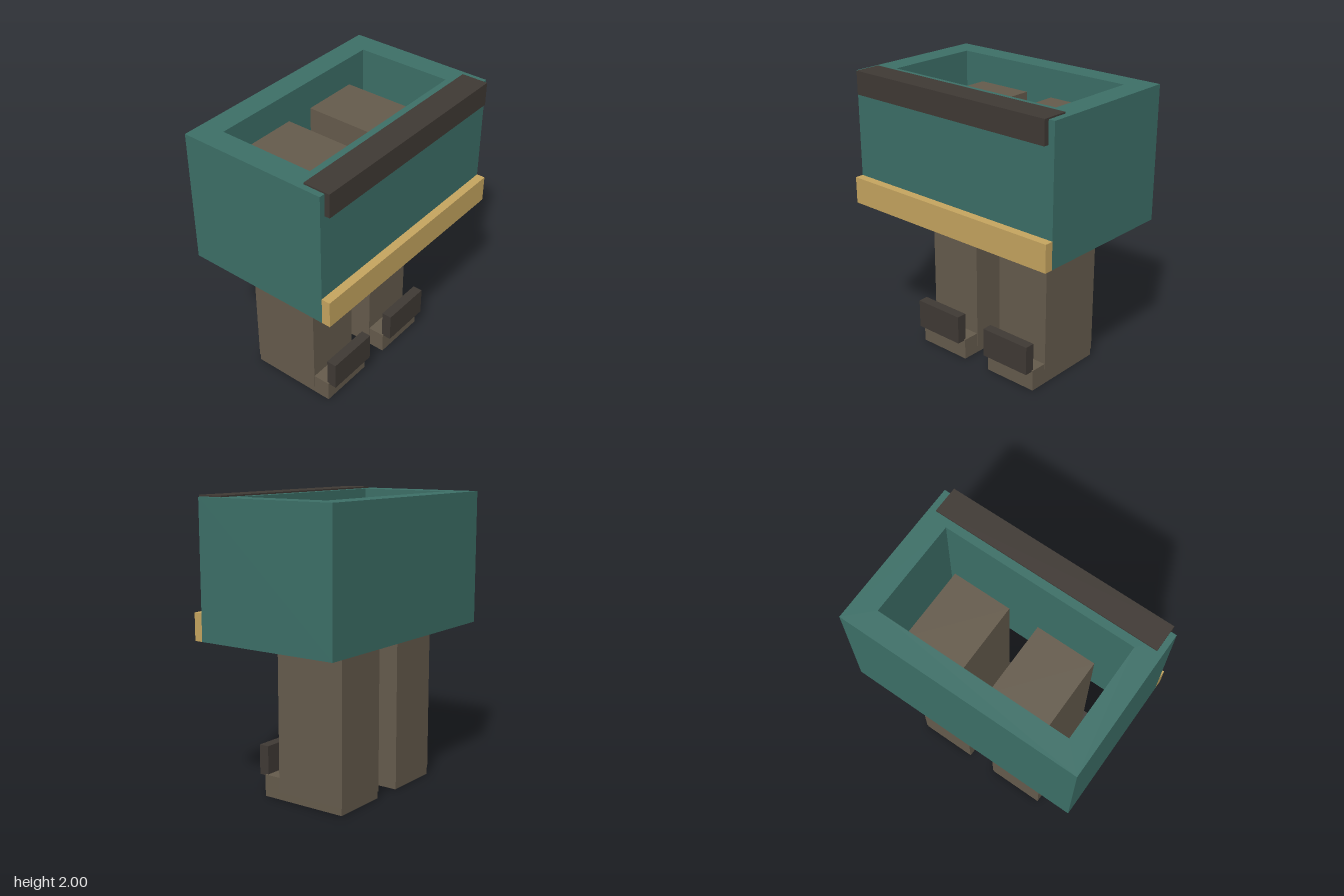
import * as THREE from 'three';

const paint = (name, color) => {
  const m = new THREE.MeshStandardMaterial({ color });
  m.name = name;
  return m;
};

// Box given by its [min, max] extent on each axis
function block(name, material, [x0, x1], [y0, y1], [z0, z1]) {
  const mesh = new THREE.Mesh(new THREE.BoxGeometry(x1 - x0, y1 - y0, z1 - z0), material);
  mesh.position.set((x0 + x1) / 2, (y0 + y1) / 2, (z0 + z1) / 2);
  mesh.name = name;
  return mesh;
}

// Rectangle outline in the x-z plane, for a shape or a hole
const rectangle = (halfWidth, z0, z1) => [
  new THREE.Vector2(-halfWidth, z0), new THREE.Vector2(halfWidth, z0),
  new THREE.Vector2(halfWidth, z1), new THREE.Vector2(-halfWidth, z1),
];

export function createModel() {
  const teal = paint('teal', 0x3d7068);
  const gold = paint('gold', 0xc7a660);
  const brown = paint('brown', 0x665c4d);
  const dark = paint('dark brown', 0x403a35);

  const model = new THREE.Group();
  model.name = 'openBoxOnLegs';

  // Hollow body, open at the top and bottom
  const outline = new THREE.Shape(rectangle(0.835, -0.545, 0.49));
  outline.holes.push(new THREE.Path(rectangle(0.675, -0.385, 0.285)));
  const bodyGeometry = new THREE.ExtrudeGeometry(outline, { depth: 0.915, bevelEnabled: false });
  bodyGeometry.rotateX(Math.PI / 2);
  const body = new THREE.Mesh(bodyGeometry, teal);
  body.position.y = 1.99;
  body.name = 'body';
  model.add(body);

  // Hem band at the bottom and rim cap at the top of the front wall
  model.add(block('hemBand', gold, [-0.835, 0.835], [1.075, 1.26], [0.49, 0.55]));
  model.add(block('rimCap', dark, [-0.795, 0.79], [1.84, 2], [0.34, 0.525]));

  // Legs reach up inside the body; each has a foot and a toe plate
  for (const [side, x] of [['left', 0.307], ['right', -0.31]]) {
    const leg = new THREE.Group();
    leg.name = side + 'Leg';
    leg.position.x = x;
    leg.add(
      block('shaft', brown, [-0.204, 0.204], [0.05, 1.8], [-0.375, 0.138]),
      block('foot', brown, [-0.201, 0.201], [0, 0.15], [-0.37, 0.26]),
      block('toePlate', dark, [-0.19, 0.19], [0.14, 0.345], [0.243, 0.315]),
    );
    model.add(leg);
  }

  return model;
}
